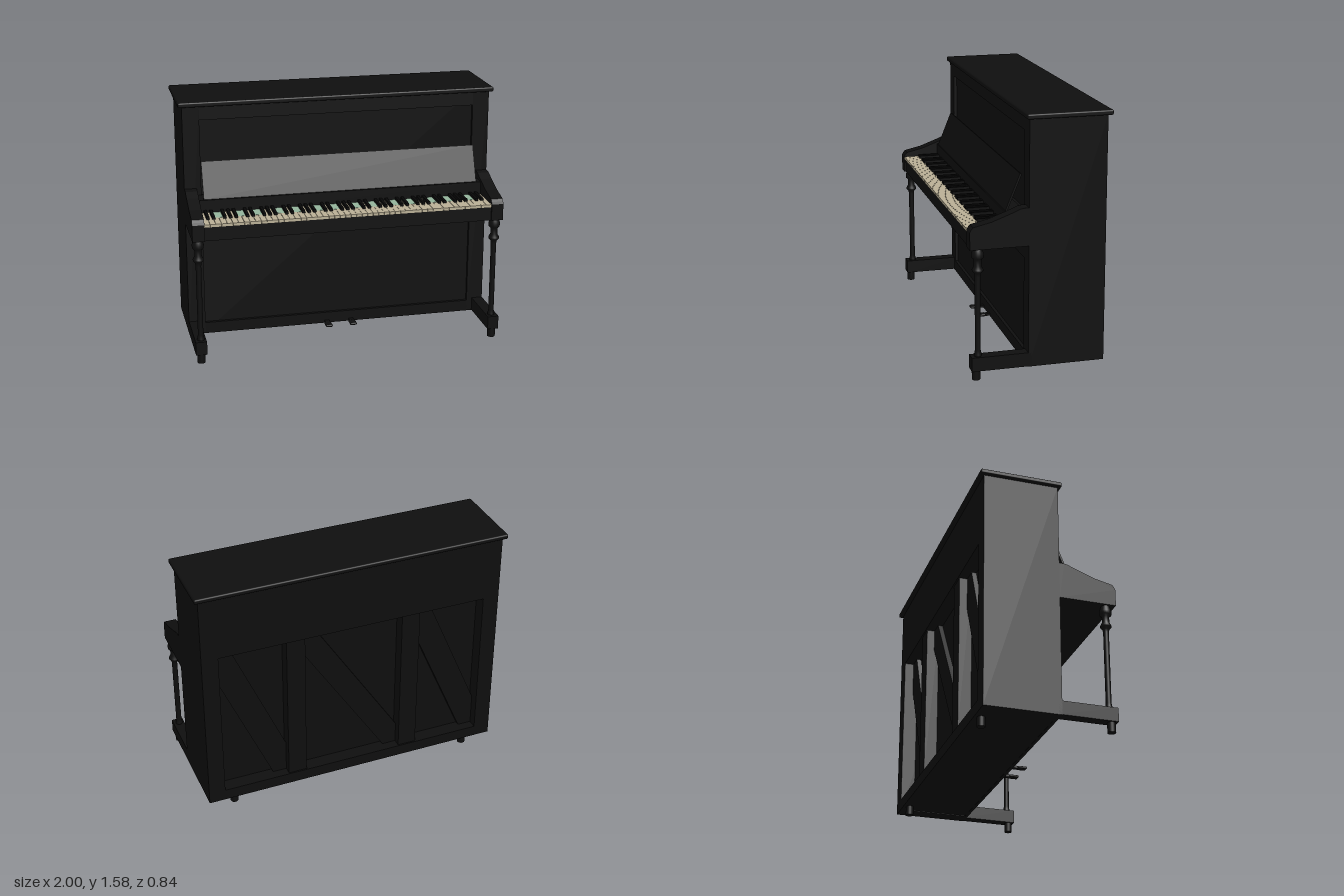
import * as THREE from 'three';
import { RoundedBoxGeometry } from 'three/addons/geometries/RoundedBoxGeometry.js';

const material = (name, color) => Object.assign(new THREE.MeshStandardMaterial({ color }), { name });

export function createModel() {
  const piano = new THREE.Group();
  piano.name = 'uprightPiano';
  const lacquer = material('blackLacquer', 0x0e0e0e);
  const ebony = material('ebony', 0x070707);
  const ivory = material('ivory', 0xb9af95);
  const felt = material('greenFelt', 0x93b39b);

  const add = (name, geometry, mat = lacquer) => {
    const mesh = new THREE.Mesh(geometry, mat);
    mesh.name = name;
    piano.add(mesh);
    return mesh;
  };
  // Box given by its lower and upper corners
  const box = (name, x0, x1, y0, y1, z0, z1, mat) =>
    add(name, new THREE.BoxGeometry(x1 - x0, y1 - y0, z1 - z0)
      .translate((x0 + x1) / 2, (y0 + y1) / 2, (z0 + z1) / 2), mat);

  // Case: side walls, inner core, lid
  for (const s of [-1, 1]) {
    const [a, b] = s > 0 ? [0.87, 0.975] : [-0.975, -0.87];
    box('caseSide', a, b, 0.058, 1.55, -0.395, 0.07);
  }
  box('caseCore', -0.87, 0.87, 0.06, 1.55, -0.305, 0.05);
  add('lid', new RoundedBoxGeometry(2, 0.03, 0.51, 2, 0.009).translate(0, 1.56, -0.165));

  // Front rails framing the recessed panels
  box('bottomRail', -0.87, 0.87, 0.058, 0.13, 0.05, 0.07);
  box('middleRail', -0.87, 0.87, 0.7, 0.98, 0.05, 0.07);
  box('topRail', -0.87, 0.87, 1.46, 1.55, 0.05, 0.07);

  // Back frame with posts and diagonal braces
  box('backTop', -0.87, 0.87, 1.13, 1.55, -0.395, -0.305);
  box('backSill', -0.87, 0.87, 0.058, 0.13, -0.395, -0.305);
  for (const x of [-0.38, 0.38]) box('backPost', x - 0.06, x + 0.06, 0.13, 1.13, -0.385, -0.305);
  for (const [x0, x1] of [[-0.87, -0.44], [-0.32, 0.32], [0.44, 0.87]]) {
    const w = x1 - x0, t = 0.09;
    const brace = new THREE.Shape([
      [x0, 0.13], [x0 + t, 0.13], [x1, 1.13 - t * 1 / w], [x1, 1.13], [x1 - t, 1.13], [x0, 0.13 + t / w],
    ].map(([x, y]) => new THREE.Vector2(x, y)));
    add('backBrace', new THREE.ExtrudeGeometry(brace, { depth: 0.03, bevelEnabled: false })
      .translate(0, 0, -0.335));
  }

  // Key bed, fallboard and sloping music desk
  box('keyBed', -0.9, 0.9, 0.8, 0.888, 0.07, 0.41);
  box('fallboard', -0.9, 0.9, 0.888, 0.985, 0.07, 0.188);
  const desk = add('musicDesk', new THREE.BoxGeometry(1.74, 0.235, 0.012));
  desk.position.set(0, 1.095, 0.134);
  desk.rotation.x = -Math.atan2(0.085, 0.21);

  // Key arms
  const armShape = new THREE.Shape([
    [0.07, 0.8], [0.42, 0.8], [0.42, 0.905], [0.413, 0.92], [0.4, 0.935], [0.29, 0.96],
    [0.18, 1.0], [0.12, 1.024], [0.1, 1.028], [0.07, 1.028],
  ].map(([z, y]) => new THREE.Vector2(z, y)));
  const armGeometry = new THREE.ExtrudeGeometry(armShape, { depth: 0.075, bevelEnabled: false })
    .rotateY(-Math.PI / 2);
  for (const x of [-0.9, 0.975]) add('keyArm', armGeometry).position.x = x;

  // Keyboard: 52 white keys; sharps between them except at every 3rd and 7th joint
  const pitch = 1.8 / 52;
  for (let i = 0; i < 52; i++) {
    const x = -0.9 + i * pitch;
    box('whiteKey', x + 0.0008, x + pitch - 0.0008, 0.888, 0.905, 0.188, 0.417, ivory);
    if (i === 0) continue;
    if (i % 7 === 0 || i % 7 === 3) {
      box('feltStrip', x - 0.025, x + 0.025, 0.904, 0.906, 0.188, 0.295, felt);
    } else {
      box('blackKey', x - 0.009, x + 0.009, 0.9, 0.922, 0.188, 0.325, ebony);
    }
  }

  // Turned legs, foot rails and feet
  const legGeometry = new THREE.LatheGeometry([
    [0.001, 0.14], [0.023, 0.14], [0.022, 0.155], [0.017, 0.18], [0.017, 0.63], [0.02, 0.65],
    [0.033, 0.665], [0.033, 0.675], [0.022, 0.695], [0.022, 0.733], [0.035, 0.745],
    [0.037, 0.765], [0.03, 0.79], [0.024, 0.803],
  ].map(([r, y]) => new THREE.Vector2(r, y)), 24);
  const footGeometry = new THREE.CylinderGeometry(0.025, 0.025, 0.062, 20).translate(0, 0.031, 0);
  for (const s of [-1, 1]) {
    add('frontLeg', legGeometry).position.set(s * 0.938, 0, 0.366);
    box('footRail', s * 0.94 - 0.035, s * 0.94 + 0.035, 0.06, 0.145, 0.05, 0.41);
    add('frontFoot', footGeometry).position.set(s * 0.94, 0, 0.378);
    add('backFoot', footGeometry).position.set(s * 0.8, 0, -0.352);
    // Pedals
    box('pedalStem', s * 0.08 - 0.015, s * 0.08 + 0.015, 0.062, 0.076, 0.05, 0.11);
    add('pedal', new RoundedBoxGeometry(0.044, 0.016, 0.06, 2, 0.007)).position.set(s * 0.08, 0.069, 0.13);
  }
  return piano;
}
